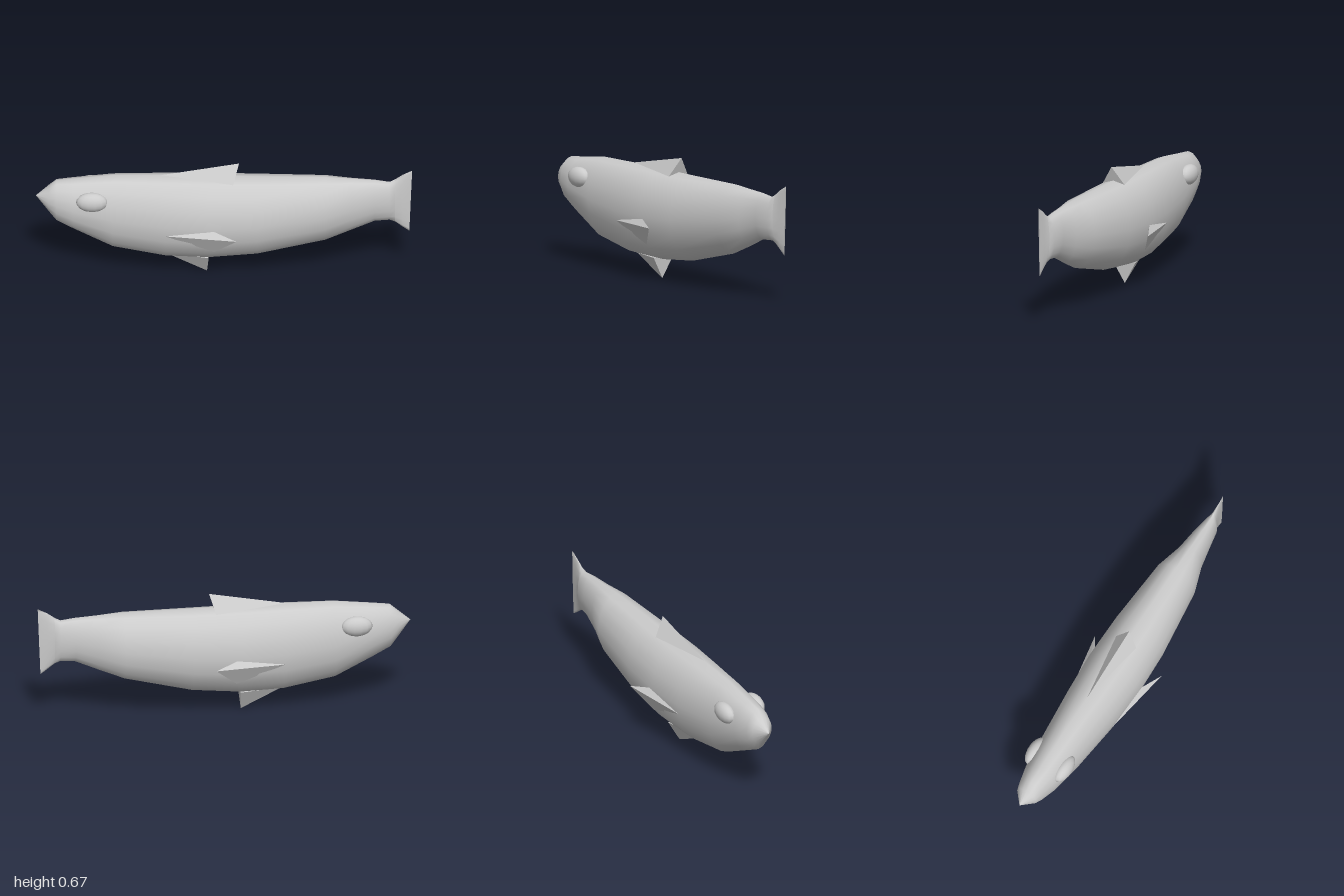
import * as THREE from 'three';

const material = new THREE.MeshStandardMaterial({ color: 0xcccccc, side: THREE.DoubleSide });

function addMesh(group, geometry, name) {
  const mesh = new THREE.Mesh(geometry, material);
  mesh.name = name;
  group.add(mesh);
  return mesh;
}

// Skin elliptical rings [x, bottom, top, halfWidth] into one smooth surface
function loft(sections, sides = 16) {
  const positions = [], index = [];
  sections.forEach(([x, bottom, top, halfWidth], i) => {
    for (let j = 0; j < sides; j++) {
      const a = (j / sides) * Math.PI * 2;
      positions.push(x, (top + bottom) / 2 + Math.cos(a) * (top - bottom) / 2, Math.sin(a) * halfWidth);
      if (i === sections.length - 1) continue;
      const k = (j + 1) % sides;
      const p = i * sides + j, q = i * sides + k;
      index.push(p, q, p + sides, q, q + sides, p + sides);
    }
  });
  const geometry = new THREE.BufferGeometry();
  geometry.setAttribute('position', new THREE.Float32BufferAttribute(positions, 3));
  geometry.setIndex(index);
  geometry.computeVertexNormals();
  return geometry;
}

// Swept-back fin: two faces from the front point to the tip, plus a trailing face
function fin(front, tip, baseA, baseB) {
  const geometry = new THREE.BufferGeometry();
  const corners = [front, baseA, tip, front, tip, baseB, tip, baseA, baseB].flat();
  geometry.setAttribute('position', new THREE.Float32BufferAttribute(corners, 3));
  geometry.computeVertexNormals();
  return geometry;
}

export function createModel() {
  const fish = new THREE.Group();
  fish.name = 'fish';

  // Body, nose to tail root
  addMesh(fish, loft([
    [-1, 0.46, 0.46, 0],
    [-0.93, 0.37, 0.52, 0.06],
    [-0.89, 0.315, 0.555, 0.073],
    [-0.8, 0.268, 0.565, 0.096],
    [-0.59, 0.16, 0.59, 0.12],
    [-0.31, 0.11, 0.593, 0.148],
    [-0.08, 0.105, 0.592, 0.163],
    [0.18, 0.13, 0.59, 0.156],
    [0.54, 0.215, 0.59, 0.12],
    [0.68, 0.272, 0.582, 0.075],
    [0.8, 0.325, 0.575, 0.055],
    [0.88, 0.33, 0.565, 0.04],
    [0.91, 0.318, 0.582, 0.022],
  ]), 'body');

  // Tail fin, flaring to a thin vertical edge
  const tail = loft([
    [0.88, 0.33, 0.565, 0.04],
    [0.91, 0.318, 0.582, 0.022],
    [0.95, 0.287, 0.61, 0.012],
    [0.993, 0.262, 0.636, 0.002],
  ]);
  const p = tail.attributes.position;
  for (let i = p.count - 16; i < p.count; i++) p.setX(i, 0.985 + 0.015 * (p.getY(i) - 0.262) / 0.374);
  tail.computeVertexNormals();
  addMesh(fish, tail, 'tailFin');

  // Fins on the back and belly
  addMesh(fish, fin([-0.34, 0.592, 0], [0.08, 0.67, 0], [0.05, 0.572, 0.063], [0.05, 0.572, -0.063]), 'backFin');
  addMesh(fish, fin([-0.31, 0.11, 0], [-0.09, 0.002, 0], [-0.08, 0.118, -0.065], [-0.08, 0.118, 0.065]), 'bellyFin');

  // Side fins and eye bumps
  for (const s of [1, -1]) {
    const side = s > 0 ? 'right' : 'left';
    const top = [-0.05, 0.342, s * 0.163], low = [-0.05, 0.2, s * 0.135];
    addMesh(fish, fin([-0.31, 0.3, s * 0.145], [0.07, 0.31, s * 0.21],
      s > 0 ? low : top, s > 0 ? top : low), side + 'SideFin');
    const eye = addMesh(fish, new THREE.SphereGeometry(1, 14, 10), side + 'Eye');
    eye.scale.set(0.085, 0.055, 0.043);
    eye.position.set(-0.7, 0.475, s * 0.091);
  }
  return fish;
}
